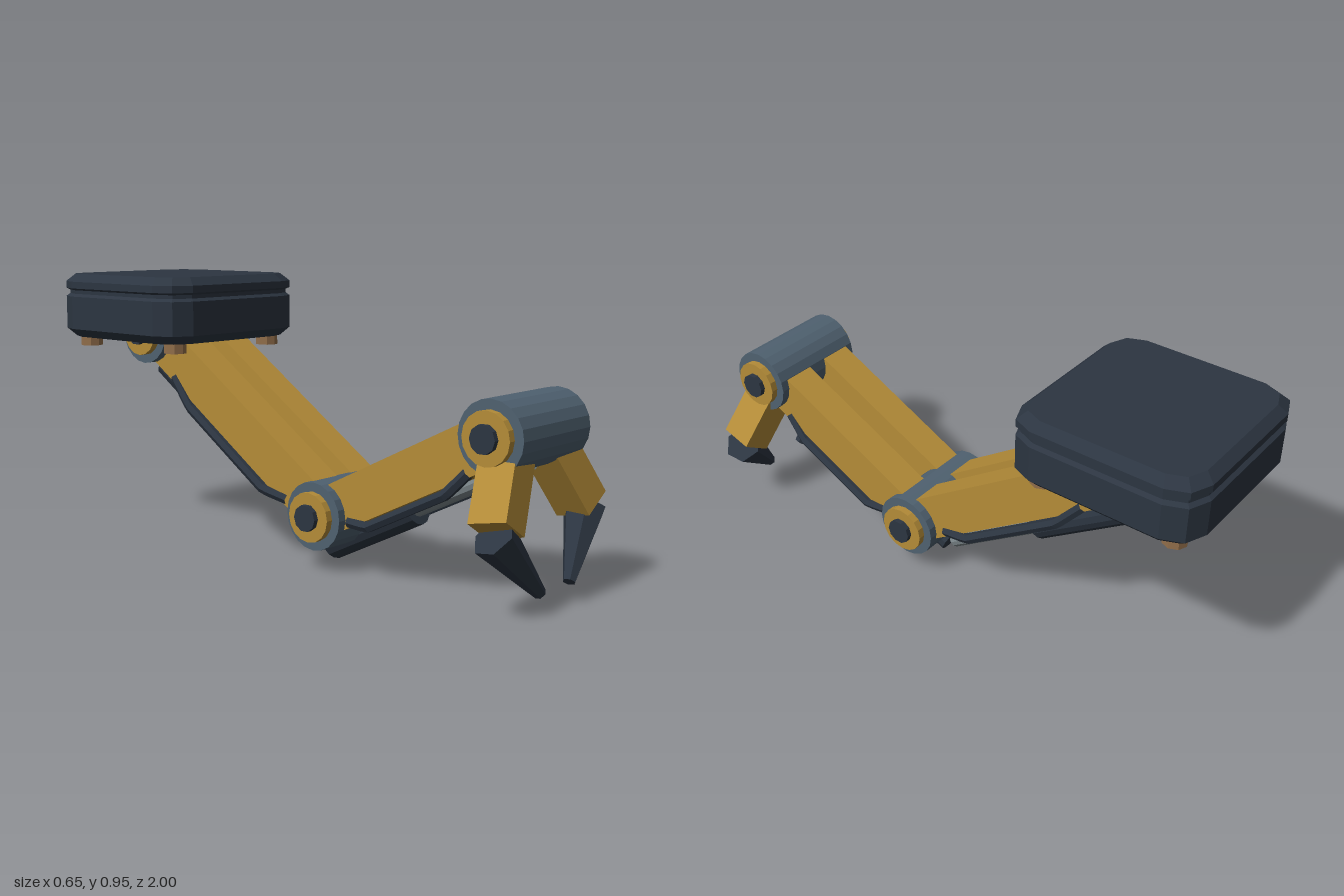
import * as THREE from 'three';

const mat = (name, color) => Object.assign(new THREE.MeshStandardMaterial({ color, flatShading: true }), { name });

export function createModel() {
  const navy = mat('dark navy', 0x2c3541);
  const yellow = mat('ochre yellow', 0xb48c38);
  const steel = mat('blue steel', 0x4f6170);
  const chrome = mat('rod grey', 0x7d888c);
  const brass = mat('bolt brown', 0x936f4b);

  const model = new THREE.Group();
  model.name = 'roboticArm';
  const V = (x, y, z) => new THREE.Vector3(x, y, z);

  function add(parent, name, geometry, material) {
    const mesh = new THREE.Mesh(geometry, material);
    mesh.name = name;
    parent.add(mesh);
    return mesh;
  }

  // Lays a mesh's y axis along a line between two points
  function between(mesh, a, b) {
    const y = b.clone().sub(a).normalize();
    const z = V(0, 0, 1).addScaledVector(y, -y.z);
    if (z.length() < 0.01) z.set(0, 1, 0);
    z.normalize();
    const x = y.clone().cross(z);
    mesh.quaternion.setFromRotationMatrix(new THREE.Matrix4().makeBasis(x, y, z));
    mesh.position.copy(a).add(b).multiplyScalar(0.5);
    return mesh;
  }

  function rod(parent, name, a, b, r0, r1, sides, material) {
    const geo = new THREE.CylinderGeometry(r1, r0, a.distanceTo(b), sides);
    return between(add(parent, name, geo, material), a, b);
  }

  // Closed stack of rounded-corner rectangles: layers of [y, inset]
  function housing(hx, hz, corner, layers) {
    const outline = inset => {
      const pts = [];
      const r = corner - inset * 0.5, x = hx - inset - r, z = hz - inset - r;
      [[1, 1], [-1, 1], [-1, -1], [1, -1]].forEach(([sx, sz], q) => {
        for (let i = 0; i < 3; i++) {
          const t = (q + i / 2) * Math.PI / 2;
          pts.push([sx * x + r * Math.cos(t), sz * z + r * Math.sin(t)]);
        }
      });
      return pts;
    };
    const pos = [], idx = [], n = 12, top = (layers.length - 1) * n;
    for (const [y, inset] of layers) for (const [x, z] of outline(inset)) pos.push(x, y, z);
    for (let l = 0; l < layers.length - 1; l++) {
      for (let i = 0; i < n; i++) {
        const a = l * n + i, b = l * n + (i + 1) % n;
        idx.push(a, a + n, b, b, a + n, b + n);
      }
    }
    for (let i = 1; i < n - 1; i++) {
      idx.push(0, i, i + 1);
      idx.push(top, top + i + 1, top + i);
    }
    const g = new THREE.BufferGeometry();
    g.setAttribute('position', new THREE.Float32BufferAttribute(pos, 3));
    g.setIndex(idx);
    const flat = g.toNonIndexed();
    flat.computeVertexNormals();
    return flat;
  }

  // Mounting base with a groove near the top
  const base = add(model, 'mountingBase', housing(0.325, 0.325, 0.1, [
    [0.72, 0.03], [0.75, 0], [0.87, 0], [0.88, 0.012],
    [0.893, 0.012], [0.9, 0], [0.925, 0], [0.953, 0.03],
  ]), navy);
  base.position.z = -0.673;
  for (const x of [-0.232, 0.232]) for (const z of [-0.437, -0.905]) {
    rod(model, 'baseBolt', V(x, 0.685, z), V(x, 0.73, z), 0.04, 0.04, 8, brass);
  }

  // Joints: steel barrel, yellow caps and dark hubs
  const shoulder = V(0, 0.745, -0.657), elbow = V(0, 0.184, 0.174), wrist = V(0, 0.527, 0.863);
  for (const [name, p] of [['shoulder', shoulder], ['elbow', elbow], ['wrist', wrist]]) {
    const joint = new THREE.Group();
    joint.name = name + 'Joint';
    joint.position.copy(p);
    model.add(joint);
    for (const [part, half, r, sides, m] of [
      ['Barrel', 0.185, 0.115, 20, steel], ['Caps', 0.21, 0.084, 16, yellow], ['Hubs', 0.228, 0.045, 10, navy],
    ]) rod(joint, name + part, V(-half, 0, 0), V(half, 0, 0), r, r, sides, m);
  }

  // Arm section from the elbow; local z runs along it, "up" is the sign of the upper side
  function arm(name, target, piston) {
    const d = target.clone().sub(elbow), length = d.length();
    const up = Math.sign(d.z);
    const g = new THREE.Group();
    g.name = name;
    g.position.copy(elbow);
    g.rotation.x = -Math.atan2(d.y, d.z);
    model.add(g);
    for (const side of [-1, 1]) {
      const beam = add(g, name + 'Beam', new THREE.BoxGeometry(0.117, 0.158, length), yellow);
      beam.position.set(side * 0.096, 0, length / 2);

      // Cable bulging out below the beam
      const pts = [[0.14, 0.145, 0.06], [0.24, 0.156, 0.1], [0.68, 0.156, 0.1], [0.81, 0.145, 0.065]]
        .map(([t, x, drop]) => V(side * x, -up * drop, t * length));
      const path = new THREE.CurvePath();
      for (let i = 0; i < 3; i++) path.add(new THREE.LineCurve3(pts[i], pts[i + 1]));
      add(g, name + 'Cable', new THREE.TubeGeometry(path, 24, 0.019, 6), navy);
    }
    // Hydraulic cylinder and rod under the beams
    const at = t => V(0, -up * piston.drop, t);
    rod(g, name + 'PistonBarrel', at(piston.barrel[0]), at(piston.barrel[1]), piston.r, piston.r, 14, navy);
    rod(g, name + 'PistonRod', at(piston.rod[0]), at(piston.rod[1]), 0.031, 0.031, 12, chrome);
  }
  arm('upperArm', shoulder, { drop: 0.155, r: 0.053, barrel: [0.44, 0.985], rod: [-0.01, 0.46] });
  arm('forearm', wrist, { drop: 0.09, r: 0.058, barrel: [-0.12, 0.278], rod: [0.25, 0.75] });

  // Gripper fingers with tapered claws
  for (const s of [-1, 1]) {
    const a = V(s * 0.1, 0.49, 0.872), b = V(s * 0.238, 0.272, 0.925);
    const name = s > 0 ? 'left' : 'right';
    between(add(model, name + 'Finger', new THREE.BoxGeometry(0.115, a.distanceTo(b), 0.125), yellow), a, b);
    rod(model, name + 'Claw', V(s * 0.254, 0.257, 0.928), V(s * 0.082, 0.062, 0.982), 0.07, 0.02, 6, navy);
  }
  return model;
}
